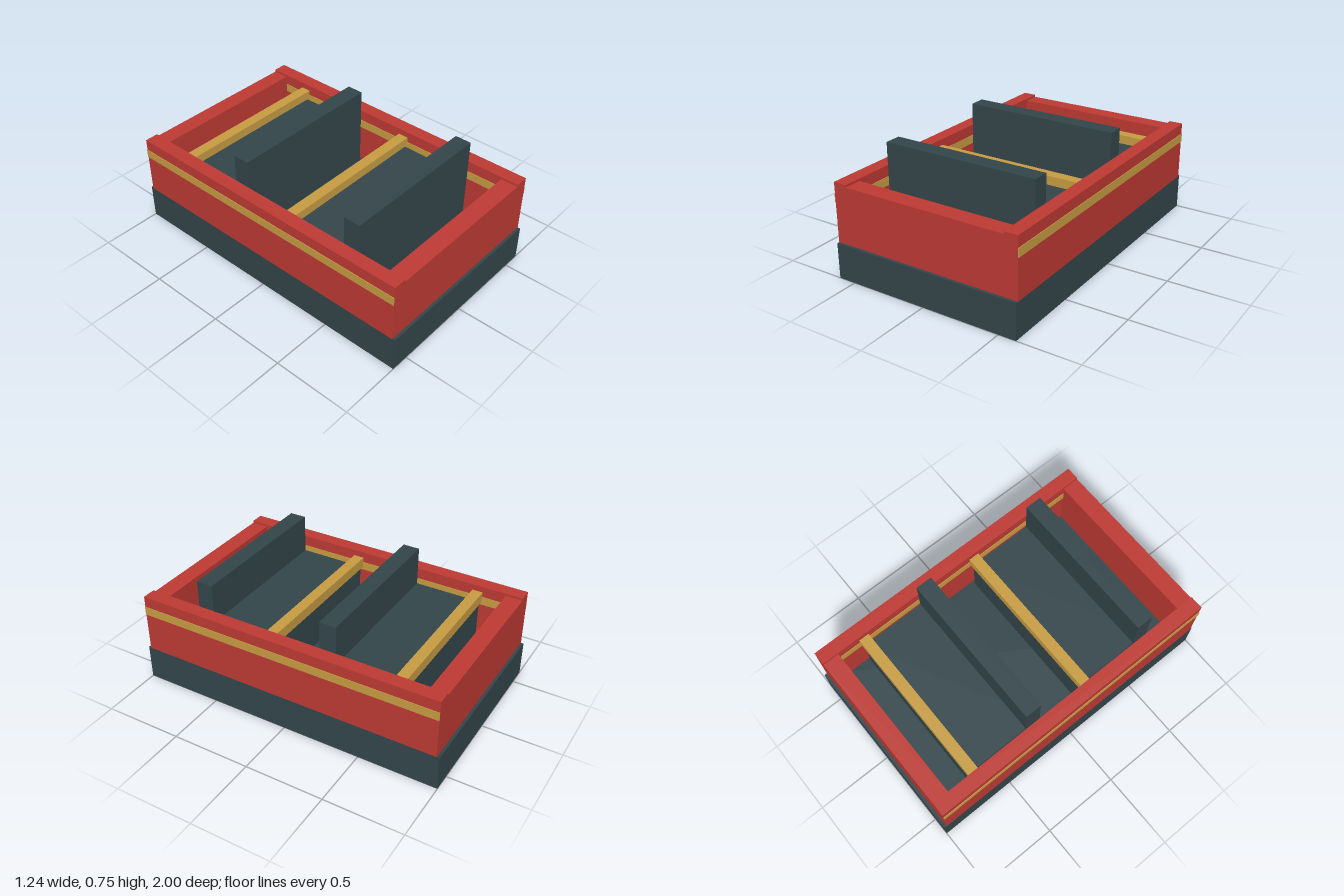
import * as THREE from 'three';

export function createModel() {
  const model = new THREE.Group();
  const slate = new THREE.MeshStandardMaterial({ name: 'slate', color: 0x34464b });
  const red = new THREE.MeshStandardMaterial({ name: 'red', color: 0xbf3a34 });
  const gold = new THREE.MeshStandardMaterial({ name: 'gold', color: 0xc89d43 });

  // Box given by its lower and upper limits on each axis
  function box(name, material, [x0, x1], [y0, y1], [z0, z1]) {
    const mesh = new THREE.Mesh(new THREE.BoxGeometry(x1 - x0, y1 - y0, z1 - z0), material);
    mesh.position.set((x0 + x1) / 2, (y0 + y1) / 2, (z0 + z1) / 2);
    mesh.name = name;
    model.add(mesh);
  }

  // Solid base, its top is the floor
  box('base', slate, [-0.612, 0.612], [0, 0.225], [-1, 1]);

  // Side walls with a gold band on both faces
  for (const [side, s] of [['left', 1], ['right', -1]]) {
    const span = (a, b) => (s > 0 ? [a, b] : [-b, -a]);
    box(side + 'Wall', red, span(0.527, 0.614), [0.225, 0.6], [-0.982, 0.982]);
    box(side + 'OuterBand', gold, span(0.614, 0.618), [0.476, 0.53], [-0.982, 0.982]);
    box(side + 'InnerBand', gold, span(0.523, 0.527), [0.476, 0.53], [-0.87, 0.87]);
  }

  // Lower end walls
  box('frontWall', red, [-0.527, 0.527], [0.225, 0.585], [0.87, 0.982]);
  box('backWall', red, [-0.527, 0.527], [0.225, 0.585], [-0.982, -0.875]);

  // Two benches, each with a gold rail and an upright board
  for (const [name, z] of [['front', 0.11], ['rear', -0.727]]) {
    box(name + 'Bench', slate, [-0.505, 0.505], [0.225, 0.505], [z + 0.01, z + 0.54]);
    box(name + 'Rail', gold, [-0.527, 0.527], [0.495, 0.562], [z, z + 0.068]);
    box(name + 'Board', slate, [-0.505, 0.505], [0.505, 0.755], [z + 0.434, z + 0.54]);
  }
  return model;
}
